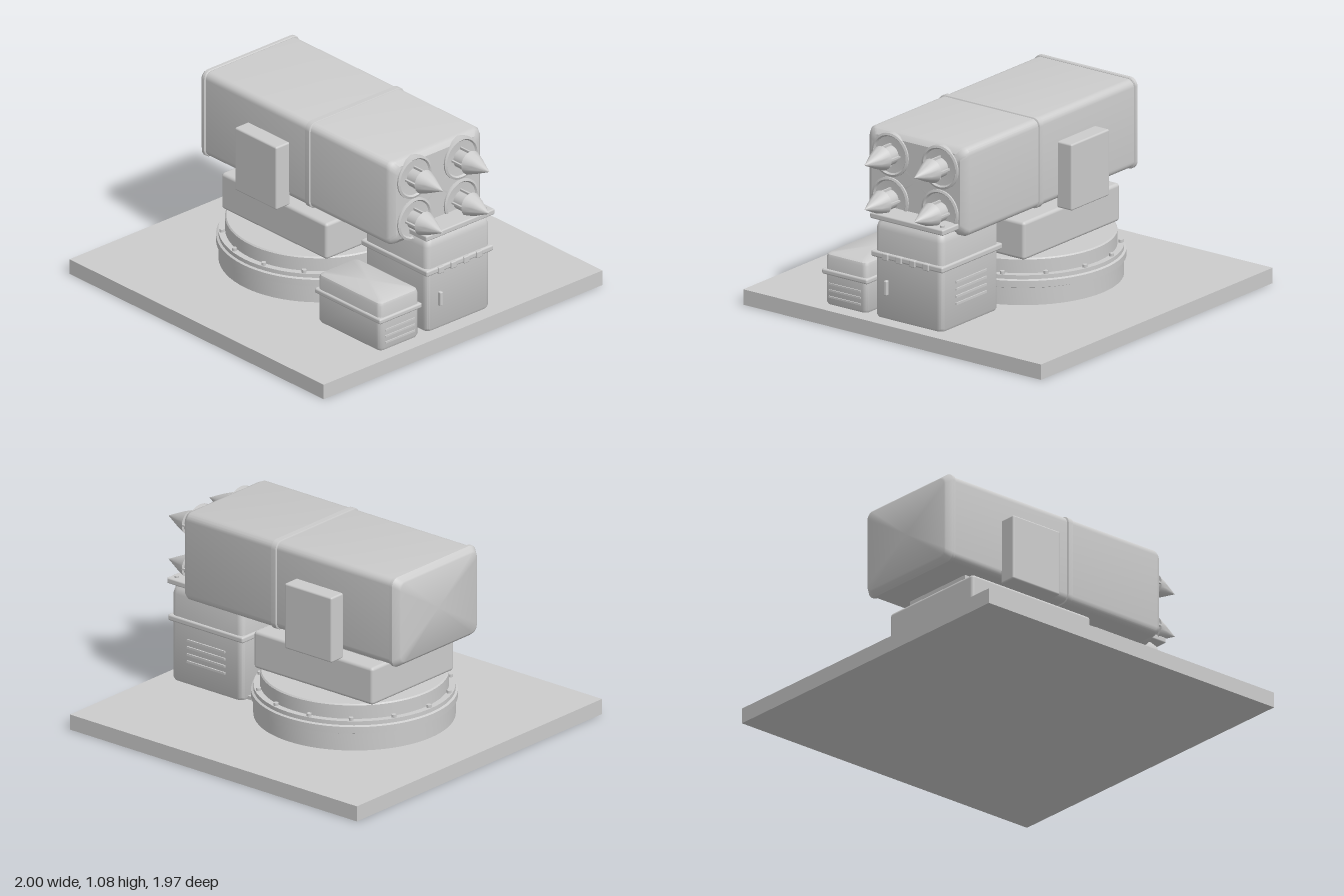
import * as THREE from 'three';
import { toCreasedNormals } from 'three/addons/utils/BufferGeometryUtils.js';
import { RoundedBoxGeometry } from 'three/addons/geometries/RoundedBoxGeometry.js';

const material = new THREE.MeshStandardMaterial({ color: 0xcccccc });

function add(parent, name, geometry, x = 0, y = 0, z = 0) {
  const mesh = new THREE.Mesh(geometry, material);
  mesh.name = name;
  mesh.position.set(x, y, z);
  parent.add(mesh);
  return mesh;
}

// Box given by its limits; r rounds the edges
function block(parent, name, [x0, x1], [y0, y1], [z0, z1], r = 0) {
  const size = [x1 - x0, y1 - y0, z1 - z0];
  const geometry = r ? new RoundedBoxGeometry(...size, 3, r) : new THREE.BoxGeometry(...size);
  return add(parent, name, geometry, (x0 + x1) / 2, (y0 + y1) / 2, (z0 + z1) / 2);
}

// Rounded-rectangle sections [height, half x, half z, corner radius] joined upwards
function loft(sections) {
  const steps = 6, n = 4 * (steps + 1), pos = [], index = [];
  for (const [h, a, b, r] of sections) {
    for (let c = 0; c < 4; c++) {
      const sx = c === 0 || c === 3 ? 1 : -1, sz = c < 2 ? 1 : -1;
      for (let i = 0; i <= steps; i++) {
        const t = (c + i / steps) * Math.PI / 2;
        pos.push(sx * (a - r) + r * Math.cos(t), h, sz * (b - r) + r * Math.sin(t));
      }
    }
  }
  const last = sections.length - 1, bottom = n * (last + 1), top = bottom + 1;
  pos.push(0, sections[0][0], 0, 0, sections[last][0], 0);
  for (let j = 0; j < n; j++) {
    const k = (j + 1) % n;
    for (let s = 0; s < last; s++) {
      const o = s * n, u = o + n;
      index.push(o + j, u + j, o + k, o + k, u + j, u + k);
    }
    index.push(bottom, j, k, top, last * n + k, last * n + j);
  }
  const geometry = new THREE.BufferGeometry();
  geometry.setAttribute('position', new THREE.Float32BufferAttribute(pos, 3));
  geometry.setIndex(index);
  return toCreasedNormals(geometry, 0.6);
}

// The same loft, running along x
const loftX = sections => loft(sections).rotateZ(-Math.PI / 2);

// Turned profile of [radius, height] points with crisp edges
const turned = (points, sides) => toCreasedNormals(
  new THREE.LatheGeometry(points.map(p => new THREE.Vector2(...p)), sides), 0.6);

function makeTurntable() {
  const group = new THREE.Group();
  group.name = 'turntable';
  group.position.set(-0.14, 0, 0);
  add(group, 'turntableDrum', turned([
    [0, 0.085], [0.53, 0.085], [0.53, 0.18], [0.542, 0.185], [0.542, 0.222], [0.53, 0.228],
    [0.53, 0.25], [0.495, 0.25], [0.495, 0.325], [0.488, 0.332], [0, 0.332]], 72));
  // Bolts around the flange
  const bolt = new THREE.CylinderGeometry(0.013, 0.013, 0.02, 10);
  for (let i = 0; i < 14; i++) {
    const t = (i + 0.5) * Math.PI / 7 + Math.PI / 2;
    add(group, 'flangeBolt', bolt, 0.512 * Math.cos(t), 0.256, 0.512 * Math.sin(t));
  }
  return group;
}

function makeMissile() {
  const group = new THREE.Group();
  group.name = 'missile';
  // Collar with a shallow recess
  add(group, 'tubeCollar', turned([
    [0.12, 0.74], [0.12, 0.783], [0.108, 0.787], [0.1, 0.778], [0, 0.772]], 40).rotateZ(-Math.PI / 2));
  // Body and pointed nose
  add(group, 'missileBody', turned([
    [0.052, 0.77], [0.052, 0.85], [0.066, 0.852], [0.045, 0.905], [0, 1]], 32).rotateZ(-Math.PI / 2));
  for (let i = 0; i < 4; i++) {
    const fin = new THREE.BoxGeometry(0.08, 0.064, 0.01).translate(0.814, 0.032, 0);
    add(group, 'missileFin', fin).rotation.x = i * Math.PI / 2;
  }
  return group;
}

function makeLauncher() {
  const group = new THREE.Group();
  group.name = 'launcher';
  group.position.y = 0.83;
  add(group, 'launcherBody', loftX([
    [-0.67, 0.245, 0.328, 0.04], [0.735, 0.245, 0.328, 0.04],
    [0.755, 0.238, 0.32, 0.045], [0.775, 0.212, 0.294, 0.04]]));
  add(group, 'rearCap', loftX([
    [-0.72, 0.222, 0.305, 0.04], [-0.715, 0.23, 0.313, 0.04], [-0.685, 0.252, 0.336, 0.045],
    [-0.668, 0.252, 0.336, 0.045], [-0.664, 0.247, 0.33, 0.04]]));
  add(group, 'strap', loftX([
    [0.113, 0.245, 0.328, 0.04], [0.117, 0.251, 0.336, 0.045],
    [0.147, 0.251, 0.336, 0.045], [0.151, 0.245, 0.328, 0.04]]));
  for (const y of [0.12, -0.125]) for (const z of [-0.165, 0.165]) {
    const missile = makeMissile();
    missile.position.set(0, y, z);
    group.add(missile);
  }
  return group;
}

function makeCabinet() {
  const group = new THREE.Group();
  group.name = 'cabinet';
  add(group, 'cabinetBody', loft([
    [0.085, 0.237, 0.217, 0.03], [0.1, 0.245, 0.225, 0.035], [0.575, 0.245, 0.225, 0.035],
    [0.605, 0.238, 0.218, 0.035], [0.632, 0.215, 0.195, 0.03]]), 0.65, 0, -0.043);
  block(group, 'cabinetRim', [0.392, 0.908], [0.418, 0.452], [-0.28, 0.194], 0.01);
  block(group, 'cabinetLid', [0.5, 0.91], [0.628, 0.66], [-0.285, 0.2], 0.008);
  // Latches, door handle and vents
  for (const z of [0.097, 0.007, -0.083, -0.173]) {
    block(group, 'latch', [0.89, 0.916], [0.414, 0.453], [z - 0.02, z + 0.02], 0.006);
  }
  block(group, 'doorHandle', [0.89, 0.915], [0.22, 0.302], [0.085, 0.105], 0.006);
  for (let i = 0; i < 4; i++) {
    const y = 0.21 + i * 0.04;
    block(group, 'backVent', [0.52, 0.78], [y, y + 0.012], [-0.276, -0.26]);
  }
  block(group, 'foot', [0.38, 0.6], [0.085, 0.105], [-0.22, 0.14]);
  for (const z of [-0.25, 0.165]) {
    add(group, 'lidBolt', new THREE.CylinderGeometry(0.011, 0.011, 0.014, 10), 0.87, 0.663, z);
  }
  return group;
}

function makeSideCase() {
  const group = new THREE.Group();
  group.name = 'sideCase';
  add(group, 'caseBody', loft([
    [0.085, 0.238, 0.132, 0.025], [0.1, 0.245, 0.14, 0.03], [0.345, 0.245, 0.14, 0.03],
    [0.36, 0.24, 0.135, 0.03], [0.37, 0.225, 0.12, 0.025]]), 0.648, 0, 0.373);
  block(group, 'caseRim', [0.392, 0.904], [0.25, 0.28], [0.223, 0.524], 0.01);
  for (let i = 0; i < 3; i++) {
    const y = 0.125 + i * 0.036;
    block(group, 'caseVent', [0.885, 0.899], [y, y + 0.01], [0.27, 0.48]);
  }
  return group;
}

export function createModel() {
  const model = new THREE.Group();
  model.name = 'missileLauncher';
  block(model, 'basePlate', [-1, 0.975], [0, 0.085], [-0.987, 0.987]);
  model.add(makeTurntable());
  // Pedestal under the launcher, with its upper cradle
  block(model, 'pedestal', [-0.545, 0.275], [0.33, 0.54], [-0.33, 0.33], 0.018);
  block(model, 'cradle', [-0.5, 0.12], [0.53, 0.6], [-0.22, 0.22]);
  // Elevation drive housings on both sides
  for (const s of [-1, 1]) {
    block(model, 'sideHousing', [-0.34, -0.016], [0.545, 0.912],
      s > 0 ? [0.32, 0.42] : [-0.42, -0.32], 0.01);
  }
  model.add(makeLauncher(), makeCabinet(), makeSideCase());
  return model;
}
